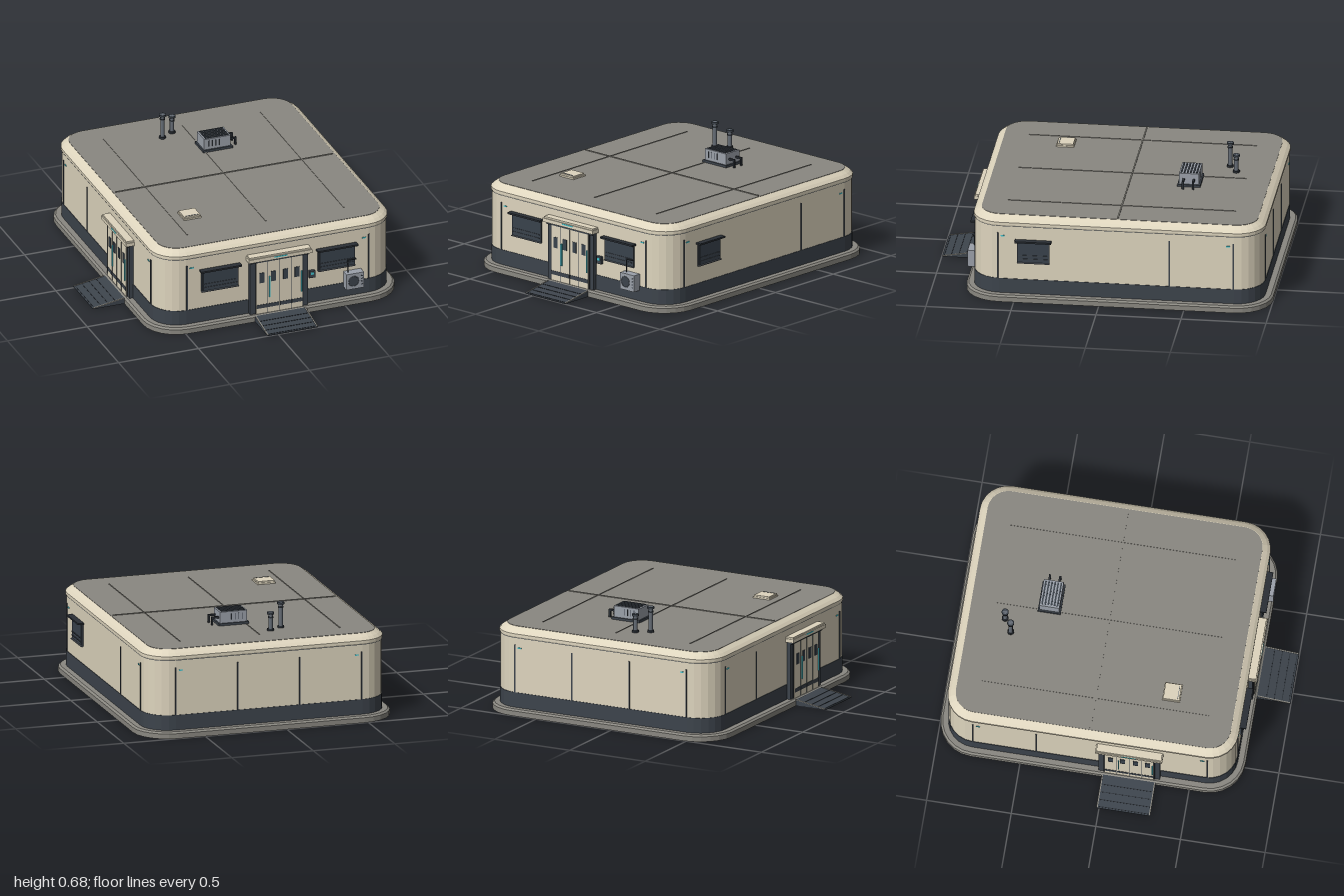
import * as THREE from 'three';

const mat = (name, color) => Object.assign(new THREE.MeshStandardMaterial({ color }), { name });
const M = {
  wall: mat('cream wall', 0xded5be),
  grey: mat('concrete grey', 0x8a8881),
  dark: mat('dark slate', 0x3d444c),
  black: mat('near black', 0x2a2f35),
  glass: mat('dark glass', 0x39424c),
  steel: mat('mid steel', 0x666d76),
  metal: mat('metal grey', 0x9ba1aa),
  cyan: mat('cyan light', 0x45c6d2),
};

// Building outline: centre, half sizes and corner radius of the base slab
const CX = 0.0925, CZ = -0.1, HX = 0.782, HZ = 0.9, R = 0.21, SEG = 6;
const WALL = 0.045; // inset of the wall line from the slab edge
const DECK = 0.521; // roof height

function add(parent, name, geo, material, x = 0, y = 0, z = 0) {
  const m = new THREE.Mesh(geo, material);
  m.name = name;
  m.position.set(x, y, z);
  parent.add(m);
  return m;
}

// Box given by its min and max along each axis
function box(parent, name, material, x0, x1, y0, y1, z0, z1) {
  return add(parent, name, new THREE.BoxGeometry(x1 - x0, y1 - y0, z1 - z0), material,
    (x0 + x1) / 2, (y0 + y1) / 2, (z0 + z1) / 2);
}

function cyl(parent, name, material, r, h, x, y, z, sides = 12) {
  return add(parent, name, new THREE.CylinderGeometry(r, r, h, sides), material, x, y, z);
}

// Rounded-rectangle outline at a given inset and height
function ring(inset, y) {
  const r = R - inset, pts = [];
  const corners = [[1, 1], [-1, 1], [-1, -1], [1, -1]];
  corners.forEach(([sx, sz], q) => {
    for (let i = 0; i <= SEG; i++) {
      const a = (q + i / SEG) * Math.PI / 2;
      pts.push([CX + sx * (HX - R) + r * Math.cos(a), y, CZ + sz * (HZ - R) + r * Math.sin(a)]);
    }
  });
  return pts;
}

// Faceted solid through [inset, y] steps, from bottom to top, with end caps
function loft(parent, name, material, steps) {
  const rings = steps.map(([inset, y]) => ring(inset, y)), n = rings[0].length, pos = [];
  const tri = (...p) => p.forEach(v => pos.push(...v));
  const last = rings.length - 1;
  for (let i = 0; i < n; i++) {
    const j = (i + 1) % n;
    for (let k = 0; k < last; k++) {
      const a = rings[k][i], b = rings[k][j], c = rings[k + 1][j], d = rings[k + 1][i];
      tri(a, c, b);
      tri(a, d, c);
    }
    tri([CX, steps[0][1], CZ], rings[0][i], rings[0][j]);
    tri([CX, steps[last][1], CZ], rings[last][j], rings[last][i]);
  }
  const g = new THREE.BufferGeometry();
  g.setAttribute('position', new THREE.Float32BufferAttribute(pos, 3));
  g.computeVertexNormals();
  return add(parent, name, g, material);
}

// Group placed on a wall: local +z points out of the wall
function onWall(parent, name, x, z, turn) {
  const g = new THREE.Group();
  g.name = name;
  g.position.set(x, 0, z);
  g.rotation.y = turn;
  parent.add(g);
  return g;
}

// Four-leaf sliding door with posts, canopy and ramp
function entrance(parent, name, x, z, turn) {
  const g = onWall(parent, name, x, z, turn), F = 0.03;
  box(g, 'doorLeaves', M.wall, -0.145, 0.145, 0.04, 0.38, -0.02, F);
  for (const s of [-1, 1]) {
    box(g, 'doorPost', M.dark, s * 0.163 - 0.018, s * 0.163 + 0.018, 0.04, 0.385, -0.02, 0.022);
    box(g, 'postEdge', M.black, s * 0.147 - 0.004, s * 0.147 + 0.004, 0.04, 0.38, 0, 0.026);
  }
  box(g, 'doorHeader', M.dark, -0.18, 0.18, 0.375, 0.388, -0.02, 0.036);
  for (const sx of [-0.073, 0, 0.073]) box(g, 'leafSeam', M.dark, sx - 0.0015, sx + 0.0015, 0.04, 0.375, F - 0.002, F + 0.002);
  for (const wx of [-0.11, -0.038, 0.038, 0.11]) {
    box(g, 'doorWindow', M.glass, wx - 0.015, wx + 0.015, 0.24, 0.305, F - 0.002, F + 0.003);
    box(g, 'kickBand', M.dark, wx - 0.034, wx + 0.034, 0.075, 0.098, F - 0.002, F + 0.002);
  }
  for (const hx of [-0.062, 0.138]) box(g, 'lightStrip', M.cyan, hx - 0.003, hx + 0.003, 0.14, 0.275, F, F + 0.007);
  box(g, 'canopy', M.wall, -0.198, 0.198, 0.388, 0.41, -0.02, 0.05);
  box(g, 'canopyTop', M.wall, -0.192, 0.192, 0.41, 0.42, -0.02, 0.044);
  box(g, 'canopyLight', M.cyan, -0.04, 0.04, 0.4, 0.407, 0.049, 0.052);

  // Wedge ramp, its profile drawn along z and extruded across x
  const side = new THREE.Shape([[0.044, 0], [0.242, 0], [0.242, 0.004], [0.044, 0.037]]
    .map(p => new THREE.Vector2(...p)));
  add(g, 'ramp', new THREE.ExtrudeGeometry(side, { depth: 0.316, bevelEnabled: false }).rotateY(-Math.PI / 2), M.dark, 0.158);
  const onRamp = (part, m, xa, xb, zc, half) => {
    const b = box(g, part, m, xa, xb, -0.002, 0.002, zc - half, zc + half);
    b.position.y = 0.037 - (zc - 0.044) * 0.1667;
    b.rotation.x = 0.165;
  };
  for (const rx of [-0.155, 0.155]) onRamp('rampEdge', M.grey, rx - 0.004, rx + 0.004, 0.143, 0.098);
  for (const t of [0.1, 0.145, 0.19, 0.232]) onRamp('rampRib', M.black, -0.15, 0.15, t, 0.002);
}

// Shaded window with louvre bars
function windowUnit(parent, name, x, z, turn, w) {
  const g = onWall(parent, name, x, z, turn), h = w / 2;
  box(g, 'windowFrame', M.dark, -h, h, 0.235, 0.37, -0.02, 0.006);
  box(g, 'windowGlass', M.glass, -h + 0.008, h - 0.008, 0.243, 0.36, 0, 0.009);
  for (const y of [0.262, 0.284]) box(g, 'windowBar', M.dark, -h + 0.01, h - 0.01, y - 0.003, y + 0.003, 0, 0.012);
  box(g, 'windowSill', M.steel, -h, h, 0.234, 0.24, -0.01, 0.013);
  box(g, 'windowHood', M.black, -h - 0.012, h + 0.012, 0.37, 0.38, -0.02, 0.034);
}

export function createModel() {
  const root = new THREE.Group();
  root.name = 'prefabBuilding';

  // Main body; the slab is a shell, hollow from below
  loft(root, 'baseSlab', M.grey, [[0.03, 0.037], [0.008, 0.03], [0.006, 0], [0, 0], [0, 0.03], [0.012, 0.04]]);
  loft(root, 'skirt', M.dark, [[WALL, 0.038], [WALL, 0.13]]);
  loft(root, 'walls', M.wall, [[WALL + 0.003, 0.13], [WALL + 0.003, 0.465]]);
  loft(root, 'roofRim', M.wall, [[WALL, 0.462], [WALL - 0.003, 0.468], [WALL - 0.003, 0.485], [0.06, 0.502], [0.086, 0.519]]);
  loft(root, 'roofDeck', M.grey, [[0.088, 0.51], [0.088, DECK]]);
  loft(root, 'rimGroove', M.dark, [[WALL + 0.001, 0.459], [WALL + 0.001, 0.462]]);

  // Wall seams and small corner markers
  const x0 = CX - HX + WALL, x1 = CX + HX - WALL, z0 = CZ - HZ + WALL, z1 = CZ + HZ - WALL;
  const sides = [
    ['front', z1, 0, [-0.475, 0.665]],
    ['back', z0, Math.PI, [-0.475, -0.095, 0.285, 0.665]],
    ['left', x1, Math.PI / 2, [0.6, -0.41, -0.785]],
    ['right', x0, -Math.PI / 2, [0.6, -0.41, -0.785]],
  ];
  for (const [name, at, turn, seams] of sides) {
    const alongX = name === 'front' || name === 'back';
    const mark = (part, m, p, w, ya, yb) => {
      const g = onWall(root, name + part, alongX ? p : at, alongX ? at : p, turn);
      box(g, part, m, -w, w, ya, yb, -0.006, 0.001);
    };
    seams.forEach(p => mark('Seam', M.dark, p, 0.004, 0.13, 0.418));
    const lo = Math.min(...seams), hi = Math.max(...seams);
    [lo + 0.03, hi - 0.03].forEach(p => mark('Marker', M.cyan, p, 0.012, 0.396, 0.403));
  }

  // Doors and windows
  entrance(root, 'frontEntrance', CX, z1, 0);
  entrance(root, 'sideEntrance', x0, 0.143, -Math.PI / 2);
  windowUnit(root, 'frontWindowRight', -0.27, z1, 0, 0.23);
  windowUnit(root, 'frontWindowLeft', 0.46, z1, 0, 0.23);
  windowUnit(root, 'sideWindow', x1, 0.39, Math.PI / 2, 0.19);

  // Door keypad
  box(root, 'keypad', M.dark, 0.287, 0.323, 0.205, 0.25, z1 - 0.01, z1 + 0.014);
  box(root, 'keypadScreen', M.cyan, 0.295, 0.315, 0.226, 0.241, z1 + 0.013, z1 + 0.016);

  // Wall cooling unit with fan, vents and pipe
  box(root, 'coolingUnit', M.metal, 0.505, 0.615, 0.103, 0.203, z1 - 0.01, z1 + 0.048);
  cyl(root, 'fan', M.dark, 0.032, 0.006, 0.55, 0.154, z1 + 0.048, 20).rotation.x = Math.PI / 2;
  add(root, 'fanGuard', new THREE.TorusGeometry(0.032, 0.002, 6, 20), M.steel, 0.55, 0.154, z1 + 0.051);
  for (let i = 0; i < 4; i++) {
    const y = 0.125 + i * 0.018;
    box(root, 'coolingVent', M.dark, 0.596, 0.608, y, y + 0.005, z1 + 0.046, z1 + 0.05);
  }
  cyl(root, 'coolingPipe', M.black, 0.004, 0.085, 0.527, 0.24, z1 + 0.016, 8);
  box(root, 'pipeElbow', M.black, 0.524, 0.578, 0.278, 0.284, z1 + 0.006, z1 + 0.02);

  // Raised roof deck seams
  for (const x of [-0.4, CX, 0.58]) box(root, 'roofSeam', M.grey, x - 0.003, x + 0.003, 0.515, DECK + 0.003, -0.77, 0.57);
  box(root, 'roofCrossSeam', M.grey, -0.59, 0.775, 0.515, DECK + 0.004, CZ - 0.004, CZ + 0.004);

  // Roof hatch
  box(root, 'hatchBase', M.wall, -0.35, -0.24, 0.515, 0.53, 0.285, 0.39);
  box(root, 'hatchLid', M.wall, -0.345, -0.245, 0.53, 0.539, 0.29, 0.385);
  box(root, 'hatchHandle', M.steel, -0.335, -0.255, 0.538, 0.541, 0.373, 0.376);

  // Roof ventilation unit with slats and side pipes
  box(root, 'ventBase', M.dark, 0.075, 0.26, 0.518, 0.535, -0.52, -0.385);
  box(root, 'ventBody', M.metal, 0.084, 0.25, 0.535, 0.602, -0.511, -0.394);
  for (let i = 0; i < 6; i++) {
    const z = -0.502 + i * 0.0182;
    box(root, 'topSlat', M.dark, 0.094, 0.24, 0.6, 0.606, z, z + 0.009);
  }
  for (let i = 0; i < 4; i++) {
    const x = 0.112 + i * 0.022;
    for (const z of [-0.511, -0.394]) box(root, 'sideSlat', M.dark, x, x + 0.004, 0.552, 0.59, z - 0.002, z + 0.002);
  }
  for (const z of [-0.482, -0.422]) {
    box(root, 'ventPipe', M.black, 0.25, 0.296, 0.56, 0.571, z - 0.006, z + 0.006);
    box(root, 'ventPipeDrop', M.black, 0.285, 0.296, 0.52, 0.565, z - 0.006, z + 0.006);
  }

  // Exhaust stacks
  for (const [x, z, top] of [[-0.075, -0.655, 0.675], [0.002, -0.7, 0.632]]) {
    cyl(root, 'stackFoot', M.black, 0.02, 0.014, x, 0.526, z);
    cyl(root, 'stack', M.steel, 0.013, top - 0.52, x, (top + 0.52) / 2, z);
    cyl(root, 'stackCollar', M.black, 0.016, 0.008, x, top - 0.03, z);
    cyl(root, 'stackCap', M.dark, 0.021, 0.012, x, top - 0.006, z);
  }
  return root;
}
